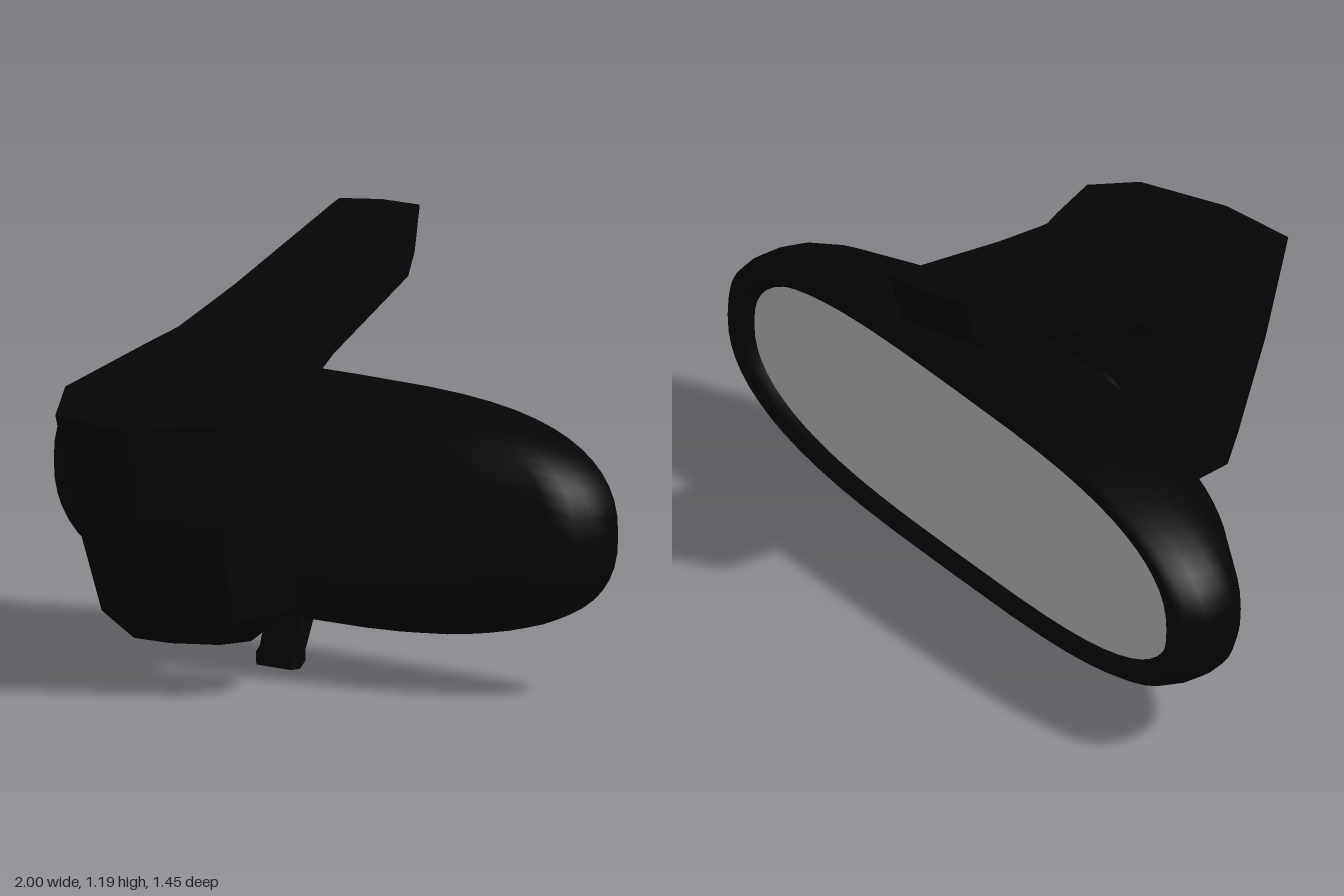
import * as THREE from 'three';

const black = new THREE.MeshStandardMaterial({ color: 0x050505 });
const blackFlat = new THREE.MeshStandardMaterial({ color: 0x050505, flatShading: true });
const grey = new THREE.MeshStandardMaterial({ color: 0xcccccc });

// Skins a stack of closed rings; each ring runs counter-clockwise seen from the last one.
function loft(rings, capStart, capEnd) {
  const n = rings[0].length, pos = rings.flat(2), index = [];
  for (let i = 0; i < rings.length - 1; i++) {
    for (let j = 0; j < n; j++) {
      const a = i * n + j, b = i * n + (j + 1) % n;
      index.push(a, b, b + n, a, b + n, a + n);
    }
  }
  const cap = (ring, first, flip) => {
    const c = pos.length / 3;
    for (let k = 0; k < 3; k++) pos.push(ring.reduce((s, p) => s + p[k], 0) / n);
    for (let j = 0; j < n; j++) {
      const a = first + j, b = first + (j + 1) % n;
      index.push(c, flip ? b : a, flip ? a : b);
    }
  };
  if (capStart) cap(rings[0], 0, true);
  if (capEnd) cap(rings[rings.length - 1], (rings.length - 1) * n, false);
  const g = new THREE.BufferGeometry();
  g.setAttribute('position', new THREE.Float32BufferAttribute(pos, 3));
  g.setIndex(index);
  g.computeVertexNormals();
  return g;
}

function add(parent, name, geometry, material) {
  const mesh = new THREE.Mesh(geometry, material);
  mesh.name = name;
  parent.add(mesh);
  return mesh;
}

// Rounded mirror outline with soft ends, scaled and set at depth z
function outline(su, sy, z) {
  const ring = [];
  for (let i = 0; i < 56; i++) {
    const t = i / 56 * Math.PI * 2, c = Math.cos(t), s = Math.sin(t);
    ring.push([
      1.045 * su * Math.sign(c) * Math.abs(c) ** (2 / 3.3),
      0.44 + 0.324 * sy * Math.sign(s) * Math.abs(s) ** (2 / 2.4), z]);
  }
  return ring;
}

// Sloping top plane shared by the mount body and its arm
const topY = z => 0.74 + 0.3236 * (0.73 - z);

function createMirror() {
  const g = new THREE.Group();
  g.name = 'mirrorHead';
  // Bezel lip, rounded rim and bulging shell
  const profile = [
    [0.89, 0.81, 0.024], [0.91, 0.845, -0.002], [0.96, 0.93, -0.01], [0.985, 0.975, 0.012],
    [1, 0.995, 0.06], [1, 1, 0.12], [0.985, 0.995, 0.17], [0.94, 0.975, 0.22],
    [0.77, 0.91, 0.315], [0.6, 0.83, 0.36], [0.42, 0.7, 0.4], [0.2, 0.42, 0.435], [0.05, 0.12, 0.45]];
  add(g, 'housing', loft(profile.map(p => outline(...p)), false, true), black);
  add(g, 'glass', loft([outline(0.89, 0.81, 0.024)], true, false), grey);

  // Small dipping lever below the housing
  const s = new THREE.Shape([
    [-0.225, 0.16], [-0.265, 0.05], [-0.265, 0.02], [-0.285, 0], [-0.318, 0],
    [-0.32, 0.035], [-0.305, 0.05], [-0.28, 0.16]].map(p => new THREE.Vector2(...p)));
  const lever = new THREE.ExtrudeGeometry(s, { depth: 0.136, bevelEnabled: false });
  lever.translate(0, 0, -0.068).rotateY(Math.PI / 2);
  add(g, 'lever', lever, blackFlat);

  g.position.set(0.028, 0, -0.395);
  g.rotation.y = -0.326;
  return g;
}

function createMount() {
  const g = new THREE.Group();
  g.name = 'mount';
  // Faceted body: half outlines [x, z, own height] from the front ridge round to the back
  const levels = [
    { y: 0.14, pts: [[0, 0.475], [0.13, 0.44], [0.17, 0.34], [0.14, 0.24, 0.152], [0.07, 0.17, 0.165]] },
    { y: 0.215, pts: [[0, 0.54], [0.2, 0.49], [0.26, 0.36], [0.22, 0.18], [0.12, 0.13]] },
    { y: 0.48, pts: [[0, 0.645], [0.222, 0.59], [0.285, 0.42], [0.24, 0.21], [0.17, 0.145]] },
    { y: null, pts: [[0, 0.727], [0.24, 0.67], [0.3, 0.51], [0.205, 0.235], [0.165, 0.13]] }];
  const rings = levels.map(({ y, pts }) => {
    const p = pts.map(([x, z, own]) => [x, own ?? y ?? topY(z), z]);
    return [...p, ...p.slice(1).reverse().map(([x, py, z]) => [-x, py, z])];
  });
  add(g, 'body', loft(rings, true, true), blackFlat);

  // Tapering arm: [z, top half width, underside half width, underside height, sideways offset]
  const stations = [
    [0.26, 0.2, 0.21, 0.6, 0], [0.14, 0.168, 0.195, 0.69, 0], [0.09, 0.162, 0.18, 0.76, 0],
    [-0.12, 0.143, 0.158, 0.85, 0.004], [-0.56, 0.127, 0.13, 1.0, 0.012],
    [-0.6, 0.126, 0.126, 1.06, 0.013], [-0.634, 0.122, 0.122, 1.178, 0.013]];
  const sections = stations.map(([z, wt, wb, b, x], i) => {
    const tip = z - (i > 4 ? 0.013 : 0);
    return [[x - wt, topY(z), z], [x, topY(tip), tip], [x + wt, topY(z), z],
      [x + wb, b, z], [x, b, tip], [x - wb, b, z]];
  });
  add(g, 'arm', loft(sections, true, true), blackFlat);

  // Neck joining the body to the mirror head
  const neck = add(g, 'neck', new THREE.CylinderGeometry(0.07, 0.09, 0.26, 20), black);
  neck.rotation.x = Math.PI / 2;
  neck.position.set(0, 0.45, 0.09);

  g.position.x = -0.068;
  return g;
}

export function createModel() {
  const model = new THREE.Group();
  model.name = 'rearViewMirror';
  model.add(createMirror(), createMount());
  return model;
}
